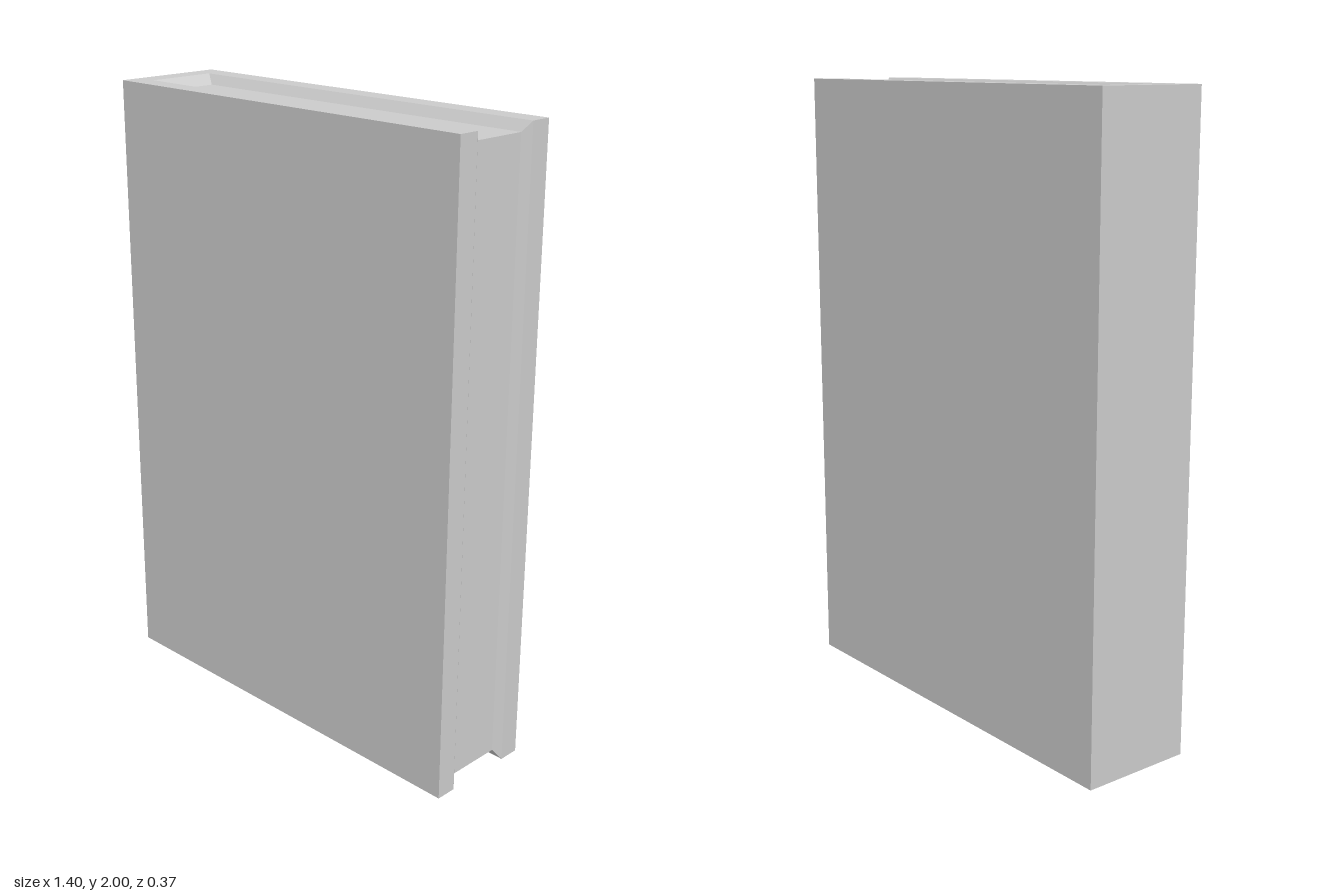
import * as THREE from 'three';

// Eight-point loop round the open edges: along the top, down the back board, along the bottom, up the front board
function ring(spineX, foreX, bottomY, topY, halfZ) {
  const half = (y, s) => [[foreX, y, s * halfZ], [spineX, y, s * halfZ], [spineX, y, -s * halfZ], [foreX, y, -s * halfZ]];
  return [...half(topY, 1), ...half(bottomY, -1)];
}

// Flat-sided mesh from four-cornered faces
function quadMesh(name, quads) {
  const positions = quads.flatMap(([a, b, c, d]) => [a, b, c, a, c, d].flat());
  const geometry = new THREE.BufferGeometry();
  geometry.setAttribute('position', new THREE.Float32BufferAttribute(positions, 3));
  geometry.computeVertexNormals();
  const mesh = new THREE.Mesh(geometry, new THREE.MeshStandardMaterial({ color: 0xcccccc, flatShading: true }));
  mesh.name = name;
  return mesh;
}

// Band of faces joining two loops
const band = (outer, inner) => outer.map((p, i) => {
  const j = (i + 1) % outer.length;
  return [p, inner[i], inner[j], outer[j]];
});

const pick = (loop, faces) => faces.map((face) => face.map((i) => loop[i]));

export function createModel() {
  const outer = ring(-0.7, 0.7, 0, 2, 0.185);
  const rim = ring(-0.63, 0.7, 0, 2, 0.116);
  const inner = ring(-0.59, 0.68, 0.035, 1.97, 0.091);

  const book = new THREE.Group();
  book.name = 'book';
  book.add(
    // Front board, back board, spine, and the board edges
    quadMesh('cover', [...pick(outer, [[0, 1, 6, 7], [2, 3, 4, 5], [1, 2, 5, 6]]), ...band(outer, rim)]),
    // Sloped inner edge of the cover
    quadMesh('coverBevel', band(rim, inner)),
    // Top, fore edge and bottom of the pages
    quadMesh('pages', pick(inner, [[3, 2, 1, 0], [7, 4, 3, 0], [7, 6, 5, 4]])),
  );
  return book;
}
